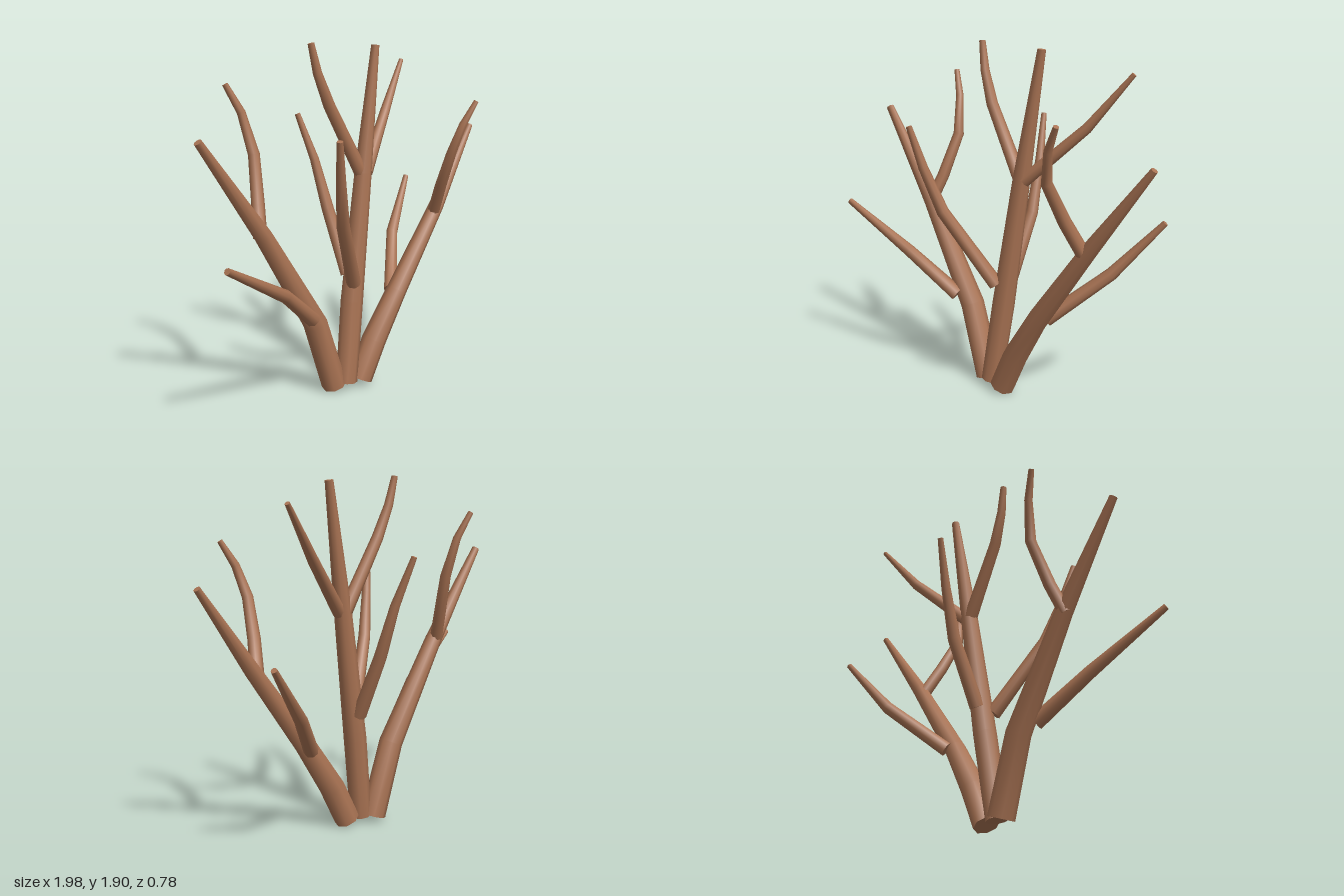
import * as THREE from 'three';

const SIDES = 8;

// Tapered limb: one ring of vertices per path point [x, y, z, radius], capped at both ends
function limbGeometry(path) {
  const pts = path.map(p => new THREE.Vector3(p[0], p[1], p[2]));
  const pos = [], index = [];
  const n = pts.length;
  const dirs = pts.slice(1).map((p, i) => p.clone().sub(pts[i]).normalize());
  let u = new THREE.Vector3(0, 0, 1);
  const rings = pts.map((p, i) => {
    const t = dirs[Math.max(i - 1, 0)].clone().add(dirs[Math.min(i, n - 2)]).normalize();
    u = u.clone().addScaledVector(t, -u.dot(t)).normalize();
    const v = t.clone().cross(u);
    return Array.from({ length: SIDES }, (_, k) => {
      const a = (k / SIDES) * Math.PI * 2, r = path[i][3];
      return p.clone().addScaledVector(u, Math.cos(a) * r).addScaledVector(v, Math.sin(a) * r);
    });
  });
  rings.forEach(ring => ring.forEach(q => pos.push(q.x, q.y, q.z)));
  for (let i = 0; i < n - 1; i++) {
    for (let k = 0; k < SIDES; k++) {
      const k2 = (k + 1) % SIDES;
      const a = i * SIDES + k, b = i * SIDES + k2;
      const c = a + SIDES, d = b + SIDES;
      index.push(a, b, d, a, d, c);
    }
  }
  // separate cap vertices keep the cut ends crisp
  [[0, true], [n - 1, false]].forEach(([i, flip]) => {
    const base = pos.length / 3;
    rings[i].forEach(q => pos.push(q.x, q.y, q.z));
    for (let k = 1; k < SIDES - 1; k++) {
      if (flip) index.push(base, base + k + 1, base + k);
      else index.push(base, base + k, base + k + 1);
    }
  });
  const g = new THREE.BufferGeometry();
  g.setAttribute('position', new THREE.Float32BufferAttribute(pos, 3));
  g.setIndex(index);
  g.computeVertexNormals();
  return g;
}

const LIMBS = {
  // three main stems
  rightStem: [[-0.09, 0.03, -0.01, 0.07], [-0.22, 0.43, -0.025, 0.066], [-0.55, 0.98, -0.055, 0.047], [-0.905, 1.49, -0.083, 0.021]],
  middleStem: [[-0.03, 0.04, 0.03, 0.06], [0.035, 0.5, 0.01, 0.062], [0.14, 1.2, -0.005, 0.047], [0.25, 1.875, -0.02, 0.022]],
  leftStem: [[0.06, 0.034, 0.05, 0.07], [0.16, 0.24, 0.065, 0.07], [0.325, 0.5, 0.09, 0.058], [0.65, 0.945, 0.115, 0.043], [0.975, 1.38, 0.105, 0.018]],
  // twigs on the right stem
  rightFrontTwig: [[-0.29, 0.485, 0.025, 0.042], [-0.57, 0.71, 0.12, 0.034], [-0.985, 0.955, 0.19, 0.017]],
  rightBackTwig: [[-0.565, 0.97, -0.06, 0.036], [-0.52, 1.12, -0.12, 0.034], [-0.468, 1.36, -0.2, 0.03], [-0.5, 1.57, -0.25, 0.022], [-0.56, 1.71, -0.295, 0.015]],
  // twigs on the middle stem
  middleFrontTwig: [[0.01, 0.615, 0.045, 0.04], [-0.235, 1.01, 0.195, 0.034], [-0.315, 1.25, 0.255, 0.026], [-0.37, 1.47, 0.3, 0.016]],
  middleBackTwig: [[0.05, 0.64, -0.035, 0.04], [0.065, 0.98, -0.2, 0.034], [0.05, 1.25, -0.285, 0.025], [0.01, 1.5, -0.375, 0.015]],
  middleRightTwig: [[0.13, 1.2, -0.01, 0.038], [-0.085, 1.58, -0.04, 0.031], [-0.15, 1.75, -0.06, 0.024], [-0.18, 1.9, -0.075, 0.017]],
  middleLeftTwig: [[0.16, 1.2, 0, 0.036], [0.46, 1.49, -0.125, 0.028], [0.68, 1.765, -0.19, 0.013]],
  // twigs on the left stem
  leftBackTwig: [[0.34, 0.49, 0.035, 0.04], [0.6, 0.74, -0.175, 0.034], [0.845, 1.035, -0.27, 0.016]],
  leftFrontTwig: [[0.62, 0.92, 0.12, 0.036], [0.565, 1.09, 0.205, 0.034], [0.523, 1.29, 0.3, 0.029], [0.56, 1.45, 0.345, 0.022], [0.628, 1.575, 0.38, 0.014]],
};

export function createModel() {
  const bark = new THREE.MeshStandardMaterial({ color: 0xa97353 });
  bark.name = 'brown bark';
  const group = new THREE.Group();
  group.name = 'bareBranches';
  for (const [name, path] of Object.entries(LIMBS)) {
    const mesh = new THREE.Mesh(limbGeometry(path), bark);
    mesh.name = name;
    group.add(mesh);
  }
  return group;
}
